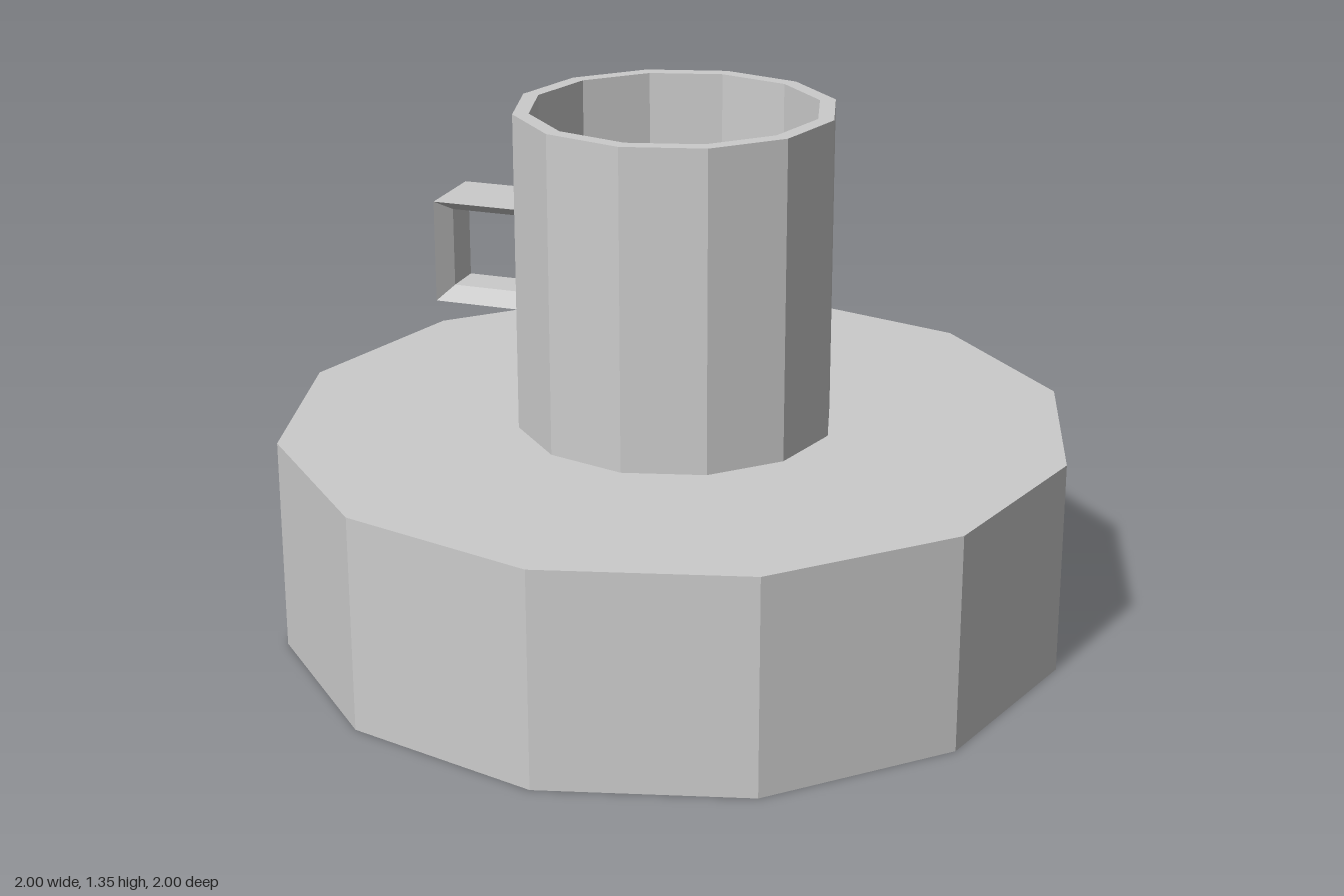
import * as THREE from 'three';

const SIDES = 12;
const BASE_TOP = 0.545;

function part(name, geometry) {
  const material = new THREE.MeshStandardMaterial({ color: 0xcccccc, flatShading: true });
  const mesh = new THREE.Mesh(geometry, material);
  mesh.name = name;
  return mesh;
}

// Squared C-shaped bar: a trapezoid section, wide outside and narrow inside, mitred at the corners
function handleGeometry() {
  const section = [[-0.1, 0], [0.1, 0], [0.05, 0.03], [-0.05, 0.03]]; // z, inset
  const left = -0.607, end = -0.368, top = 1.08, bottom = 0.82;
  const rings = [
    (i) => [end, top - i],
    (i) => [left + i, top - i],
    (i) => [left + i, bottom + i],
    (i) => [end, bottom + i],
  ];
  const positions = [];
  const index = [];
  for (const ring of rings) {
    for (const [z, inset] of section) positions.push(...ring(inset), z);
  }
  const n = section.length;
  for (let r = 0; r < rings.length - 1; r++) {
    for (let k = 0; k < n; k++) {
      const a = r * n + k, b = r * n + (k + 1) % n;
      index.push(a, b, b + n, a, b + n, a + n);
    }
  }
  // end caps, buried in the cup wall
  index.push(0, 2, 1, 0, 3, 2, 12, 13, 14, 12, 14, 15);
  // reverse the winding where the loop turns inward
  const geometry = new THREE.BufferGeometry();
  geometry.setAttribute('position', new THREE.Float32BufferAttribute(positions, 3));
  const p = (i) => new THREE.Vector3().fromArray(positions, i * 3);
  const normal = p(index[1]).sub(p(index[0])).cross(p(index[2]).sub(p(index[0])));
  if (normal.y < 0) {
    for (let i = 0; i < index.length; i += 3) [index[i], index[i + 1]] = [index[i + 1], index[i]];
  }
  geometry.setIndex(index);
  const flat = geometry.toNonIndexed();
  flat.computeVertexNormals();
  return flat;
}

export function createModel() {
  const model = new THREE.Group();
  model.name = 'cupOnBase';

  // Broad twelve-sided base
  const base = part('base', new THREE.CylinderGeometry(1, 1, BASE_TOP, SIDES));
  base.position.y = BASE_TOP / 2;
  model.add(base);

  // Hollow cup: outer wall, rim, inner wall, floor
  const profile = [[0.4, BASE_TOP], [0.4, 1.35], [0.36, 1.35], [0.36, 0.585], [0, 0.585]]
    .map(([r, y]) => new THREE.Vector2(r, y));
  model.add(part('cup', new THREE.LatheGeometry(profile, SIDES)));

  // Handle on the cup's right
  model.add(part('handle', handleGeometry()));

  return model;
}
